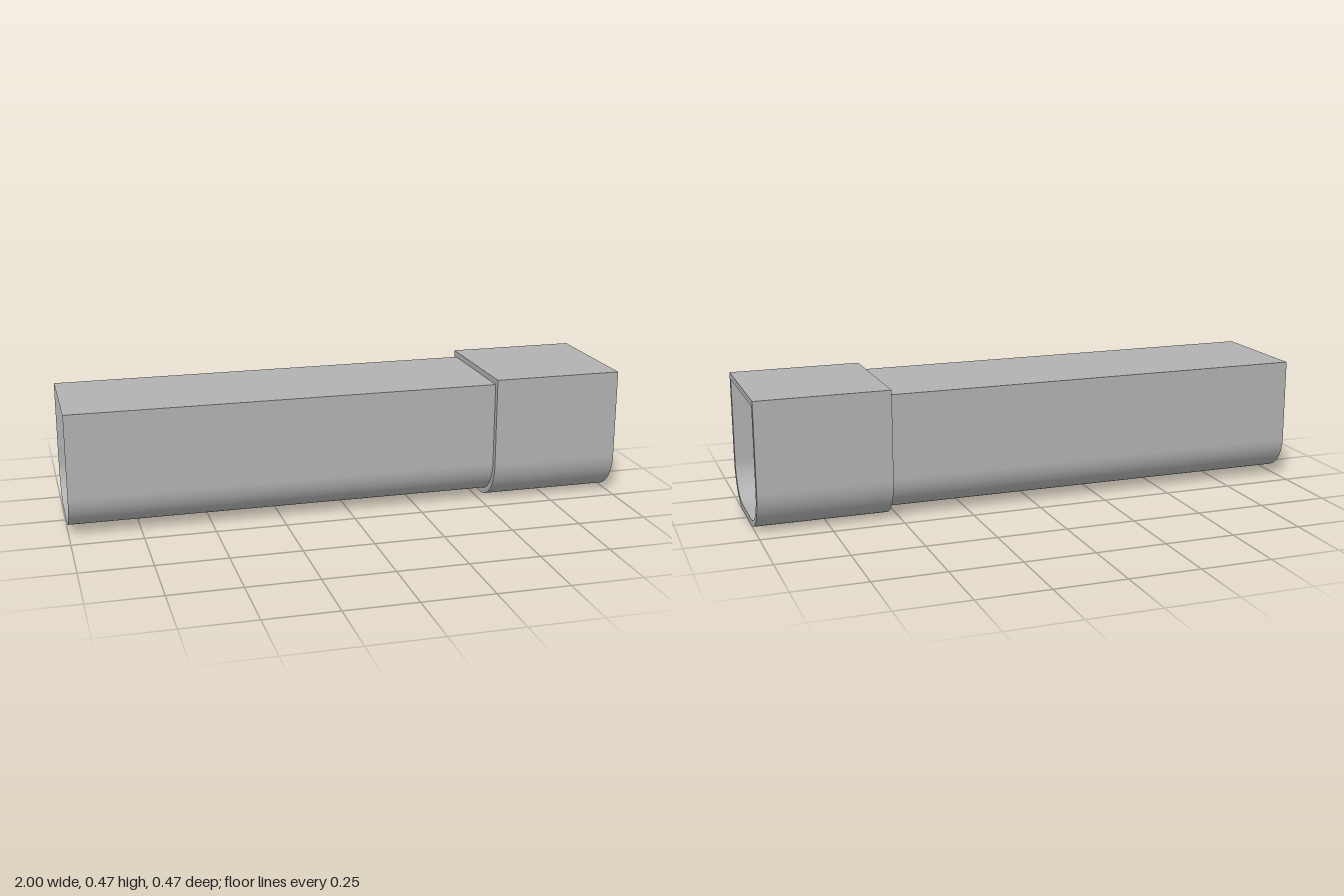
import * as THREE from 'three';

const CENTRE_Y = 0.148; // height of the lower corner centres
const CENTRE_Z = 0.084; // sideways offset of the lower corner centres

// Flat-topped U section; the inner and outer outlines share corner centres
function section(PathType, radius, top) {
  const path = new PathType();
  const half = CENTRE_Z + radius;
  path.moveTo(-half, top);
  path.lineTo(-half, CENTRE_Y);
  path.absarc(-CENTRE_Z, CENTRE_Y, radius, Math.PI, Math.PI * 1.5);
  path.lineTo(CENTRE_Z, CENTRE_Y - radius);
  path.absarc(CENTRE_Z, CENTRE_Y, radius, Math.PI * 1.5, Math.PI * 2);
  path.lineTo(half, top);
  path.closePath();
  return path;
}

// Thin open-ended wall following a section between two x positions
function sheet(path, x0, x1) {
  const points = path.getPoints(16);
  const positions = [];
  for (let i = 0; i < points.length - 1; i++) {
    const a = points[i], b = points[i + 1];
    if (a.distanceTo(b) < 1e-6) continue;
    const a0 = [x0, a.y, -a.x], a1 = [x1, a.y, -a.x];
    const b0 = [x0, b.y, -b.x], b1 = [x1, b.y, -b.x];
    positions.push(...a0, ...b0, ...b1, ...a0, ...b1, ...a1);
  }
  const geometry = new THREE.BufferGeometry();
  geometry.setAttribute('position', new THREE.Float32BufferAttribute(positions, 3));
  geometry.computeVertexNormals();
  return geometry;
}

export function createModel() {
  const group = new THREE.Group();
  group.name = 'downpipe';
  const grey = new THREE.MeshStandardMaterial({ color: 0xb2b2b2, side: THREE.DoubleSide });
  grey.name = 'pipe grey';

  // Long thin-walled pipe, open at the far end
  const pipe = new THREE.Mesh(sheet(section(THREE.Path, 0.128, 0.447), -1, 0.532), grey);
  pipe.name = 'pipe';

  // Thick socket collar around the other end
  const outline = section(THREE.Shape, 0.148 + 0.001, 0.468);
  outline.holes.push(section(THREE.Path, 0.128, 0.447));
  const collarGeometry = new THREE.ExtrudeGeometry(outline, {
    depth: 0.468, bevelEnabled: false, curveSegments: 16,
  });
  collarGeometry.rotateY(Math.PI / 2).translate(0.532, 0, 0);
  const collar = new THREE.Mesh(collarGeometry, grey);
  collar.name = 'collar';

  group.add(pipe, collar);
  return group;
}
